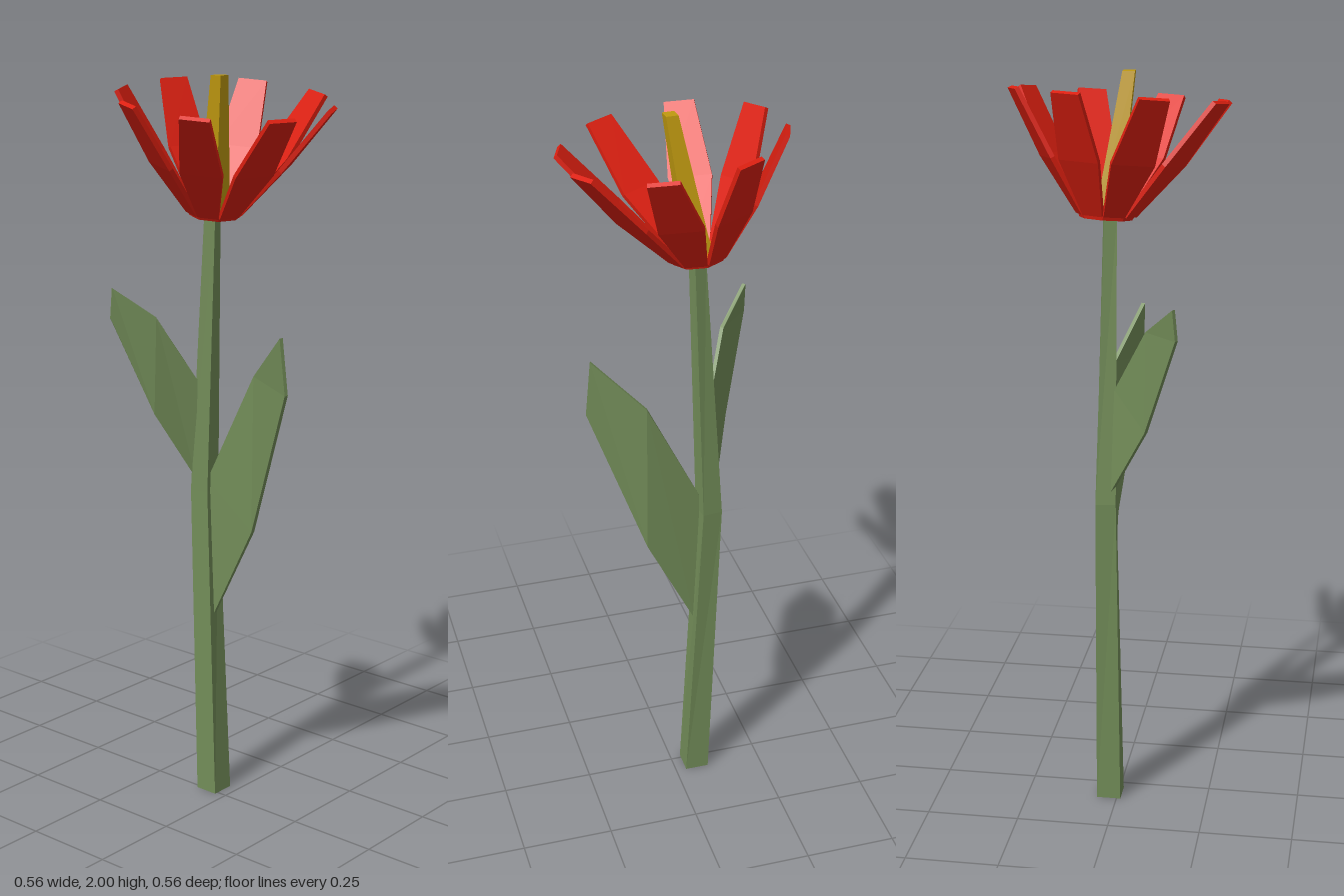
import * as THREE from 'three';

const V = (x, y, z) => new THREE.Vector3(x, y, z);
const paint = (color) => new THREE.MeshStandardMaterial({ color, flatShading: true });
const green = paint(0x728c58);
const red = paint(0xdc1f10);
const orange = paint(0xd0700f);
const yellow = paint(0xc09a10);

// Solid through cross-sections whose corners run counterclockwise around the growth direction
function loft(name, sections, material) {
  const pos = [];
  const tri = (...points) => points.forEach((p) => pos.push(p.x, p.y, p.z));
  const n = sections[0].length;
  for (let i = 0; i < sections.length - 1; i++) {
    const s = sections[i], t = sections[i + 1];
    for (let j = 0; j < n; j++) {
      const k = (j + 1) % n;
      tri(s[j], s[k], t[k]);
      tri(s[j], t[k], t[j]);
    }
  }
  const first = sections[0], last = sections[sections.length - 1];
  for (let j = 1; j < n - 1; j++) {
    tri(first[0], first[j + 1], first[j]);
    tri(last[0], last[j], last[j + 1]);
  }
  const geometry = new THREE.BufferGeometry();
  geometry.setAttribute('position', new THREE.Float32BufferAttribute(pos, 3));
  geometry.computeVertexNormals();
  const mesh = new THREE.Mesh(geometry, material);
  mesh.name = name;
  return mesh;
}

// Thin blade along pairs of edge points, thickened across its own plane
function blade(name, pairs, halfThickness, material) {
  const mids = pairs.map(([p, q]) => p.clone().add(q).multiplyScalar(0.5));
  const sections = pairs.map(([p, q], i) => {
    const grow = mids[Math.min(i + 1, mids.length - 1)].clone().sub(mids[Math.max(i - 1, 0)]);
    const off = grow.cross(q.clone().sub(p)).setLength(halfThickness);
    return [p.clone().sub(off), q.clone().sub(off), q.clone().add(off), p.clone().add(off)];
  });
  return loft(name, sections, material);
}

// Horizontal square section, turned about y
function square(x, y, z, half, turn = 0) {
  return [0, 1, 2, 3].map((i) => {
    const a = turn + Math.PI / 4 + i * Math.PI / 2;
    return V(x + half * Math.SQRT2 * Math.cos(a), y, z - half * Math.SQRT2 * Math.sin(a));
  });
}

// Point of the leaning flower head: distance out, sideways shift, height, angle
function bloomPoint(out, side, h, angle) {
  const x = out * Math.cos(angle) - side * Math.sin(angle);
  const z = out * Math.sin(angle) + side * Math.cos(angle);
  return V(-0.06 + x + 0.2 * h, 1.645 + h - 0.11 * x - 0.055 * z, -0.03 + z + 0.1 * h);
}

export function createModel() {
  const flower = new THREE.Group();
  flower.name = 'flower';

  // Bent, tapering stem
  flower.add(loft('stem', [
    square(-0.0625, 0, -0.022, 0.033),
    square(-0.098, 0.88, -0.027, 0.027, 0.12),
    square(-0.062, 1.64, -0.02, 0.016, 0.25),
  ], green));

  // Two leaves, each given as upper and lower edge from stem to tip
  flower.add(blade('leftLeaf', [
    [V(-0.08, 0.91, -0.022), V(-0.06, 0.52, -0.02)],
    [V(0.075, 1.22, -0.031), V(0.075, 0.79, -0.025)],
    [V(0.21, 1.35, 0.028), V(0.225, 1.2, 0.024)],
  ], 0.005, green));
  flower.add(blade('rightLeaf', [
    [V(-0.1, 1.19, 0), V(-0.115, 0.91, -0.01)],
    [V(-0.165, 1.365, 0.09), V(-0.175, 1.1, 0.09)],
    [V(-0.25, 1.445, 0.168), V(-0.25, 1.365, 0.176)],
  ], 0.005, green));

  // Eight-sided flower base with a disc on top
  const start = THREE.MathUtils.degToRad(20);
  const ring = (r, h) => Array.from({ length: 8 }, (_, i) =>
    bloomPoint(r, 0, h, start - (i + 0.5) * Math.PI / 4));
  flower.add(loft('flowerBase', [ring(0.068, -0.012), ring(0.075, 0.003)], red));
  flower.add(loft('flowerDisc', [ring(0.07, 0), ring(0.073, 0.006)], orange));

  // Petals: narrow root, wide middle, blunt tip
  const petals = new THREE.Group();
  petals.name = 'petals';
  const profile = [[0.068, 0.028, 0], [0.173, 0.056, 0.135], [0.28, 0.0385, 0.295]];
  for (let i = 0; i < 8; i++) {
    const angle = start + i * Math.PI / 4;
    const pairs = profile.map(([r, w, h]) =>
      [bloomPoint(r, -w, h, angle), bloomPoint(r, w, h, angle)]);
    petals.add(blade('petal', pairs, 0.006, red));
  }
  flower.add(petals);

  // Leaning pistil
  flower.add(loft('pistil', [
    square(-0.062, 1.645, -0.026, 0.03, 0.05),
    square(-0.003, 2, 0.02, 0.016, 0.05),
  ], yellow));

  return flower;
}
